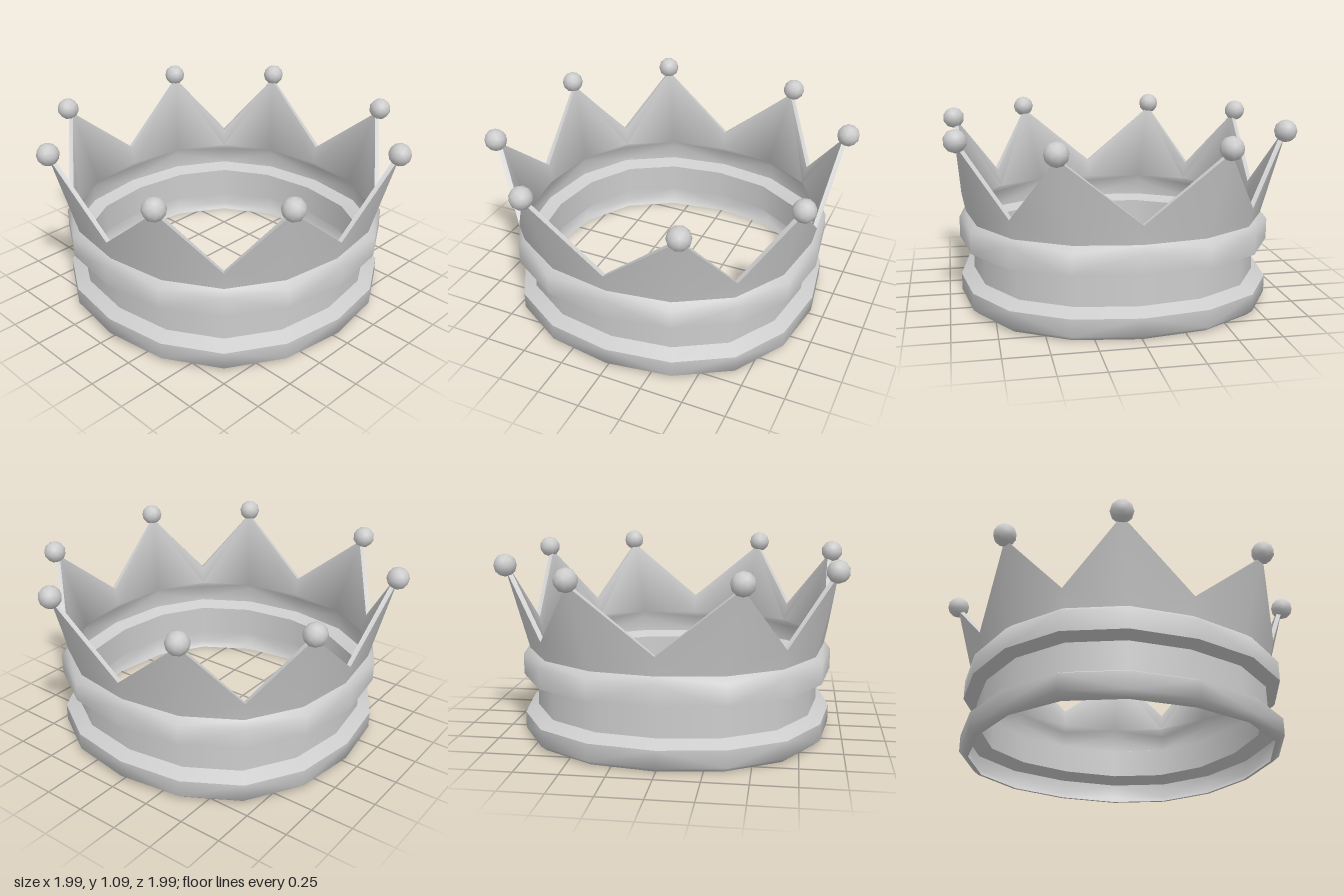
import * as THREE from 'three';
import { toCreasedNormals } from 'three/addons/utils/BufferGeometryUtils.js';

const COLUMNS = 16;
const material = new THREE.MeshStandardMaterial({ color: 0xcccccc });

// Closed wall section [radius, height]: up the outside, over the rim, down the inside
const SECTION = [
  [0.89, 0], [0.925, 0.03], [0.925, 0.13], [0.848, 0.17], [0.845, 0.34],
  [0.925, 0.365], [0.925, 0.485], [0.885, 0.52],
  'outerRim', 'innerRim',
  [0.86, 0.52], [0.895, 0.475], [0.895, 0.375], [0.815, 0.345],
  [0.812, 0.165], [0.895, 0.125], [0.895, 0.035], [0.872, 0],
];
const RIM = {
  outerRim: { valley: [0.907, 0.63], tip: [1.033, 0.995] },
  innerRim: { valley: [0.88, 0.63], tip: [1.005, 0.995] },
};

// Odd columns carry the teeth and lean slightly towards the diagonals
function columnAngle(i, lean) {
  const quarter = i % 4;
  const shift = quarter === 1 ? lean : quarter === 3 ? -lean : 0;
  return THREE.MathUtils.degToRad(i * 22.5 + shift);
}

function polar(radius, y, angle) {
  return new THREE.Vector3(radius * Math.sin(angle), y, radius * Math.cos(angle));
}

function wallPoint(i, j) {
  const column = i % COLUMNS;
  const entry = SECTION[j % SECTION.length];
  const isTooth = column % 2 === 1;
  if (typeof entry === 'string' && isTooth) {
    const [r, y] = RIM[entry].tip;
    return polar(r, y, columnAngle(column, 3.2));
  }
  const [r, y] = typeof entry === 'string' ? RIM[entry].valley : entry;
  // The ring is a little squarer than a true circle
  const swell = [1, 1.024, 1.048, 1.024][column % 4];
  return polar(r * swell, y, columnAngle(column, 1));
}

function createWall() {
  const positions = [];
  const triangle = (...points) => points.forEach((p) => positions.push(p.x, p.y, p.z));
  for (let i = 0; i < COLUMNS; i++) {
    for (let j = 0; j < SECTION.length; j++) {
      const a = wallPoint(i, j), b = wallPoint(i + 1, j);
      const c = wallPoint(i + 1, j + 1), d = wallPoint(i, j + 1);
      // Mirror the diagonals so every tooth is symmetrical
      if (i % 2 === 0) {
        triangle(a, b, d);
        triangle(b, c, d);
      } else {
        triangle(a, b, c);
        triangle(a, c, d);
      }
    }
  }
  const geometry = new THREE.BufferGeometry();
  geometry.setAttribute('position', new THREE.Float32BufferAttribute(positions, 3));
  const wall = new THREE.Mesh(toCreasedNormals(geometry, 1.0), material);
  wall.name = 'crownWall';
  return wall;
}

export function createModel() {
  const crown = new THREE.Group();
  crown.name = 'crown';
  crown.add(createWall());

  // One ball on each tooth
  const balls = new THREE.Group();
  balls.name = 'toothBalls';
  const ballGeometry = new THREE.IcosahedronGeometry(0.066, 1);
  for (let i = 1; i < COLUMNS; i += 2) {
    const ball = new THREE.Mesh(ballGeometry, material);
    ball.name = 'toothBall';
    ball.position.copy(polar(1.035, 1.02, columnAngle(i, 3.2)));
    ball.rotation.y = columnAngle(i, 3.2);
    balls.add(ball);
  }
  crown.add(balls);
  return crown;
}
